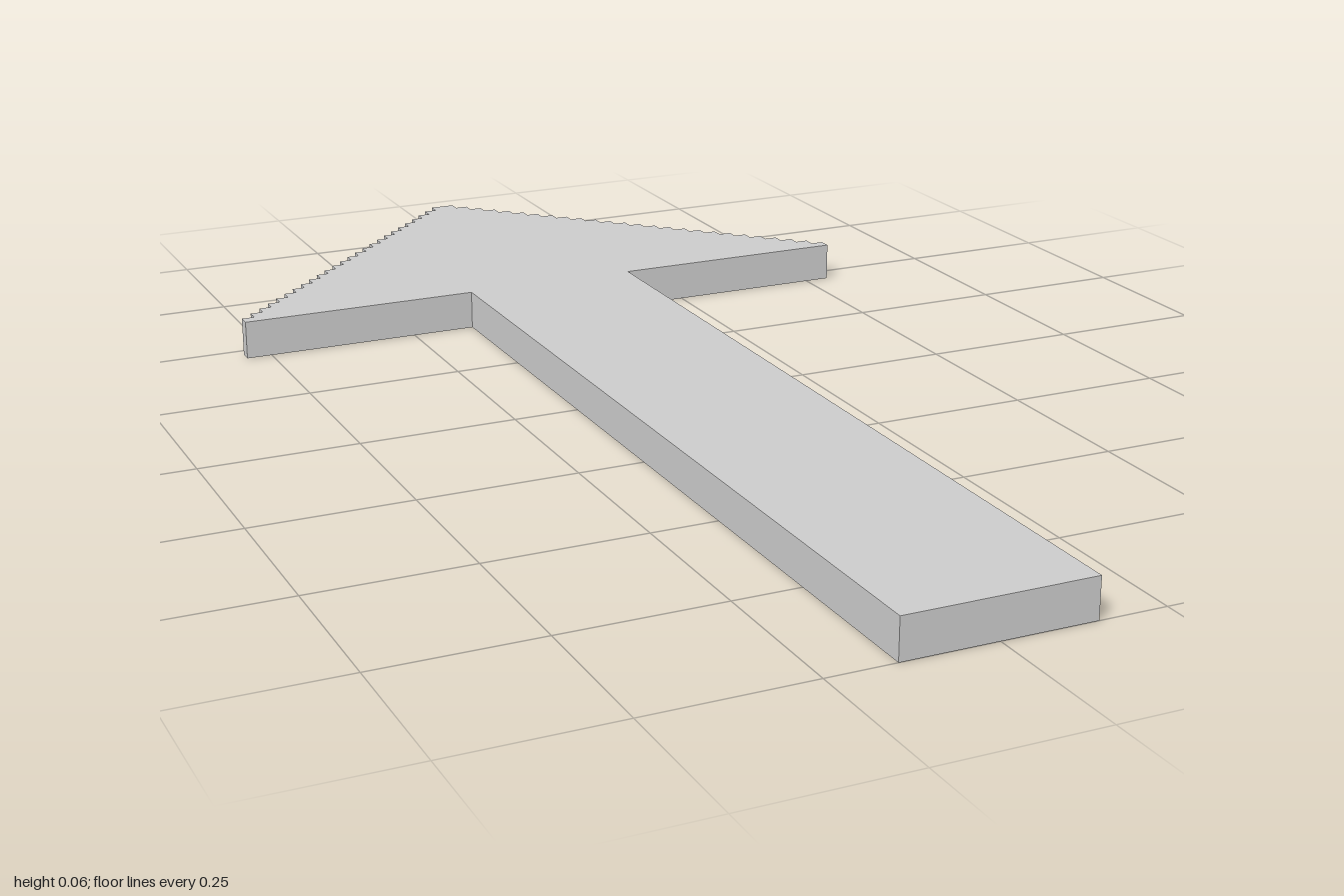
import * as THREE from 'three';

const U = 1 / 48;       // one step of the staircase edge
const STEPS = 26;       // steps from the tip to each barb
const SHAFT = 7;        // half width of the shaft, in steps
const HALF = 48;        // half length, in steps
const THICK = 3;        // thickness, in steps

export function createModel() {
  const group = new THREE.Group();
  group.name = 'arrow';

  // Right half of the outline, from the shaft's end up to the tip
  const half = [[SHAFT, -HALF], [SHAFT, HALF - STEPS]];
  for (let w = STEPS; w >= 1; w--) {
    half.push([w, HALF - w], [w, HALF - w + 1]);
  }
  // Mirror it for the other half
  const mirrored = half.map(([x, y]) => [-x, y]).reverse();
  const outline = [...half, ...mirrored].map(([x, y]) => new THREE.Vector2(x * U, y * U));

  // Extrude and lay flat, with the tip pointing to the back
  const geometry = new THREE.ExtrudeGeometry(new THREE.Shape(outline), {
    depth: THICK * U,
    bevelEnabled: false,
  });
  geometry.rotateX(-Math.PI / 2);

  const arrow = new THREE.Mesh(
    geometry,
    new THREE.MeshStandardMaterial({ color: 0xcccccc, flatShading: true })
  );
  arrow.name = 'arrowPlate';
  group.add(arrow);
  return group;
}
